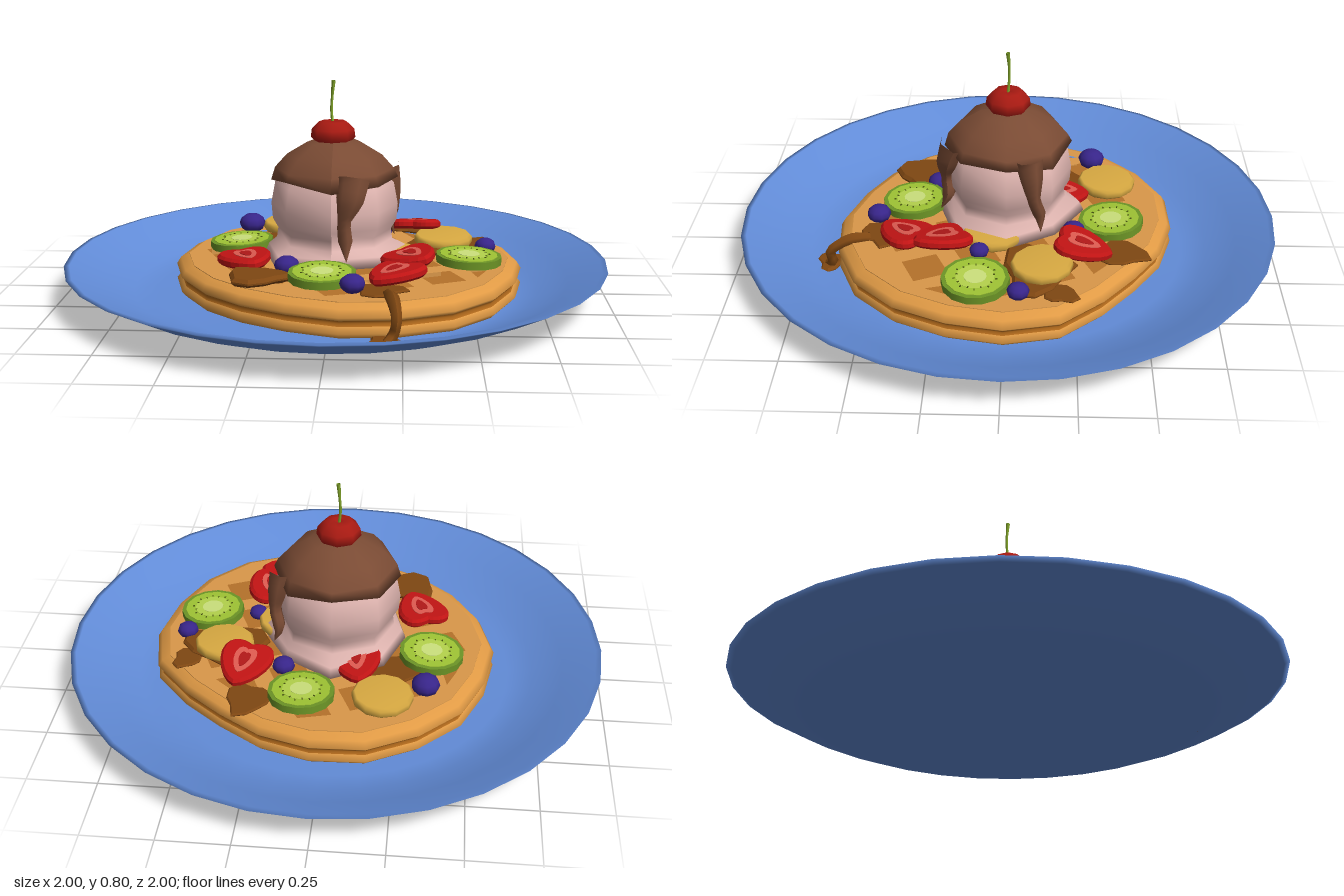
import * as THREE from 'three';

const material = (color, double) => new THREE.MeshStandardMaterial({
  color, side: double ? THREE.DoubleSide : THREE.FrontSide });

function add(parent, name, geometry, color, pos = [0, 0, 0], double = false) {
  const mesh = new THREE.Mesh(geometry, material(color, double));
  mesh.name = name;
  mesh.position.set(...pos);
  parent.add(mesh);
  return mesh;
}

const lathe = (points, sides) =>
  new THREE.LatheGeometry(points.map(p => new THREE.Vector2(...p)), sides);

// Horizontal slab from a flat shape; shape y becomes -z
function slab(shape, height, bevel = 0) {
  const g = new THREE.ExtrudeGeometry(shape, { depth: height - 2 * bevel, bevelEnabled: bevel > 0,
    bevelSize: bevel, bevelThickness: bevel, bevelOffset: -bevel, bevelSegments: 1, curveSegments: 6 });
  return g.rotateX(-Math.PI / 2).translate(0, bevel, 0);
}

// Tube whose radius follows a list of widths
function taperedTube(points, widths, sides = 6) {
  const n = 12;
  const curve = new THREE.CatmullRomCurve3(points.map(p => new THREE.Vector3(...p)));
  const g = new THREE.TubeGeometry(curve, n, 1, sides);
  const pos = g.attributes.position, v = new THREE.Vector3();
  for (let i = 0; i < pos.count; i++) {
    const t = Math.floor(i / (sides + 1)) / n, c = curve.getPointAt(t);
    const f = t * (widths.length - 1), k = Math.min(Math.floor(f), widths.length - 2);
    const w = THREE.MathUtils.lerp(widths[k], widths[k + 1], f - k);
    v.fromBufferAttribute(pos, i).sub(c).multiplyScalar(w).add(c);
    pos.setXYZ(i, v.x, v.y, v.z);
  }
  g.computeVertexNormals();
  return g;
}

// Waffle outline: radii every 18 degrees, from +x towards +z
const radii = [0.65, 0.645, 0.655, 0.66, 0.645, 0.63, 0.60, 0.595, 0.605, 0.62,
  0.64, 0.635, 0.645, 0.64, 0.64, 0.615, 0.59, 0.57, 0.59, 0.64];
const N = radii.length;
function radiusAt(angle) {
  const f = ((angle / (2 * Math.PI) + 1) % 1) * N, k = Math.floor(f) % N;
  return THREE.MathUtils.lerp(radii[k], radii[(k + 1) % N], f - Math.floor(f));
}
const outline = (s) => radii.map((r, i) => {
  const a = i / N * 2 * Math.PI;
  return new THREE.Vector2(Math.cos(a) * r * s, -Math.sin(a) * r * s);
});

// Side band between outline-shaped rings, each [scale, y]
function band(rings) {
  const position = [], index = [];
  rings.forEach(([s, y]) => outline(s).forEach(p => position.push(p.x, y, p.y * -1)));
  for (let j = 0; j < rings.length - 1; j++) for (let i = 0; i < N; i++) {
    const a = j * N + i, b = j * N + (i + 1) % N;
    index.push(a, a + N, b, b, a + N, b + N);
  }
  const g = new THREE.BufferGeometry();
  g.setAttribute('position', new THREE.Float32BufferAttribute(position, 3));
  g.setIndex(index);
  g.computeVertexNormals();
  return g;
}

function makeWaffle() {
  const waffle = new THREE.Group();
  waffle.name = 'waffle';
  waffle.position.x = 0.04;
  add(waffle, 'lowerCrust', band([[0.9, 0.013], [0.97, 0.025], [1, 0.045], [0.975, 0.065]]), 0xe09a45);
  add(waffle, 'crustGroove', band([[0.975, 0.065], [0.965, 0.075], [0.975, 0.085]]), 0xb26a1c);
  add(waffle, 'upperCrust', band([[0.975, 0.085], [1, 0.1], [0.975, 0.125], [0.92, 0.14]]), 0xe09a45);
  add(waffle, 'pocketFloor', slab(new THREE.Shape(outline(0.93)), 0.09), 0xb5722a, [0, 0.013, 0]);
  // Square pockets cut through the lattice, trimmed to the border
  const top = new THREE.Shape(outline(0.925));
  const step = 0.2, half = 0.065, turn = 0.42;
  for (let i = -4; i <= 4; i++) for (let j = -4; j <= 4; j++) {
    const corners = [[-1, -1], [1, -1], [1, 1], [-1, 1]].map(([u, v]) => {
      const p = new THREE.Vector2(i * step + u * half, j * step + v * half).rotateAround(new THREE.Vector2(), turn);
      const limit = 0.84 * radiusAt(Math.atan2(-p.y, p.x));
      return p.length() > limit ? p.setLength(limit) : p;
    });
    if (THREE.ShapeUtils.area(corners) > 0.005) top.holes.push(new THREE.Path(corners.reverse()));
  }
  add(waffle, 'lattice', slab(top, 0.045), 0xd9984a, [0, 0.096, 0]);
  return waffle;
}

// Irregular puddle of syrup
function puddle(parent, x, z, rx, rz, y, h, seed) {
  const pts = [];
  for (let i = 0; i < 11; i++) {
    const a = i / 11 * 2 * Math.PI, k = 1 + 0.2 * Math.sin(3 * a + seed) + 0.08 * Math.sin(5 * a + 2 * seed);
    pts.push(new THREE.Vector2(Math.cos(a) * rx * k, Math.sin(a) * rz * k));
  }
  add(parent, 'syrup', slab(new THREE.Shape(pts), h, Math.min(0.012, h * 0.4)), 0x7f4712, [x, y, z]);
}

function makeKiwi() {
  const kiwi = new THREE.Group();
  kiwi.name = 'kiwiSlice';
  const disc = (name, r, h, y, color) => add(kiwi, name, new THREE.CylinderGeometry(r, r, h, 14), color, [0, y, 0]);
  disc('skin', 0.12, 0.028, 0, 0x6c9426);
  disc('flesh', 0.105, 0.03, 0.001, 0x9fc434);
  disc('paleRing', 0.068, 0.032, 0.001, 0xb4d24c);
  disc('core', 0.04, 0.034, 0.001, 0xcbe07c);
  for (let i = 0; i < 18; i++) {
    const a = i / 18 * 2 * Math.PI, r = i % 2 ? 0.066 : 0.075;
    add(kiwi, 'seed', new THREE.BoxGeometry(0.007, 0.036, 0.004), 0x4c5a12,
      [Math.cos(a) * r, 0.001, Math.sin(a) * r]).rotation.y = -a;
  }
  return kiwi;
}

function makeBanana() {
  const banana = new THREE.Group();
  banana.name = 'bananaSlice';
  add(banana, 'flesh', lathe([[0, -0.02], [0.1, -0.02], [0.11, -0.01], [0.11, 0.01], [0.1, 0.02], [0, 0.02]], 12)
    .toNonIndexed(), 0xd9aa42);
  return banana;
}

// Heart-like outline with its tip towards +z
function berryShape(s) {
  const shape = new THREE.Shape();
  shape.moveTo(0, -0.11 * s);
  shape.bezierCurveTo(0.05 * s, -0.1 * s, 0.11 * s, 0, 0.095 * s, 0.055 * s);
  shape.bezierCurveTo(0.08 * s, 0.11 * s, 0.03 * s, 0.1 * s, 0, 0.085 * s);
  shape.bezierCurveTo(-0.03 * s, 0.1 * s, -0.08 * s, 0.11 * s, -0.095 * s, 0.055 * s);
  shape.bezierCurveTo(-0.11 * s, 0, -0.05 * s, -0.1 * s, 0, -0.11 * s);
  return shape;
}

function makeStrawberry() {
  const berry = new THREE.Group();
  berry.name = 'strawberrySlice';
  add(berry, 'flesh', slab(berryShape(1), 0.036, 0.01), 0xc01414, [0, -0.018, 0]);
  add(berry, 'paleCore', slab(berryShape(0.52), 0.038).scale(0.8, 1, 1.1), 0xdd5a50, [0, -0.018, 0]);
  add(berry, 'heart', slab(berryShape(0.3), 0.04).scale(0.7, 1, 1.1), 0xb01818, [0, -0.018, 0]);
  return berry;
}

export function createModel() {
  const model = new THREE.Group();
  model.name = 'wafflePlate';

  add(model, 'plate', lathe([[0, 0.002], [0.62, 0.002], [0.69, 0.009], [0.76, 0.024], [0.87, 0.068], [0.98, 0.126],
    [1, 0.137], [0.98, 0.139], [0.86, 0.08], [0.75, 0.036], [0.66, 0.018], [0, 0.012]], 32), 0x628cd8);
  model.add(makeWaffle());

  // Syrup on the lattice and running over the front edge
  [[-0.26, 0.35, 0.11, 0.09, 0.03, 1], [0.4, -0.11, 0.16, 0.12, 0.025, 2.4], [0.28, -0.42, 0.08, 0.09, 0.012, 4],
    [0.17, 0.46, 0.09, 0.07, 0.012, 0.5], [-0.2, -0.2, 0.15, 0.1, 0.012, 3], [0.54, -0.2, 0.05, 0.06, 0.012, 5]]
    .forEach(([x, z, rx, rz, h, s]) => puddle(model, x, z, rx, rz, 0.138, h, s));
  add(model, 'syrupRun', taperedTube([[0.2, 0.145, 0.5], [0.22, 0.142, 0.58], [0.23, 0.1, 0.645],
    [0.22, 0.05, 0.64], [0.2, 0.025, 0.66]], [0.02, 0.025, 0.02, 0.018, 0.02]), 0x7f4712, [0, 0, 0], true);
  puddle(model, 0.19, 0.655, 0.06, 0.05, 0.016, 0.02, 2);

  // Ice cream scoop with an uneven skirt
  const scoop = lathe([[0.2, 0.135], [0.27, 0.15], [0.255, 0.185], [0.215, 0.21], [0.21, 0.245], [0.23, 0.28],
    [0.235, 0.34], [0.22, 0.42], [0.15, 0.5], [0, 0.54]], 8);
  const cap = lathe([[0.18, 0.42], [0.235, 0.435], [0.22, 0.475], [0.175, 0.525], [0.1, 0.57], [0, 0.595]], 8);
  const wobble = (g, limit, dr, dy) => {
    const p = g.attributes.position;
    for (let i = 0; i < p.count; i++) if (p.getY(i) < limit) {
      const w = Math.sin(3 * Math.atan2(p.getZ(i), p.getX(i)) + 0.6);
      p.setXYZ(i, p.getX(i) * (1 + dr * w), p.getY(i) + dy * w, p.getZ(i) * (1 + dr * w));
    }
    g.computeVertexNormals();
    return g;
  };
  add(model, 'iceCream', wobble(scoop, 0.2, 0.07, 0), 0xddb3ae, [-0.005, 0, 0], true);
  add(model, 'chocolateCap', wobble(cap, 0.45, 0, 0.015), 0x7a4b34, [-0.005, 0, 0], true);
  add(model, 'frontDrip', taperedTube([[0.07, 0.47, 0.19], [0.06, 0.4, 0.215], [0.04, 0.32, 0.225], [0.045, 0.25, 0.22],
    [0.05, 0.18, 0.25]], [0.06, 0.05, 0.024, 0.026, 0]), 0x7a4b34);
  add(model, 'sideDrip', taperedTube([[0.19, 0.47, -0.08], [0.205, 0.4, -0.09], [0.215, 0.32, -0.1], [0.2, 0.25, -0.12],
    [0.22, 0.19, -0.125]], [0.05, 0.04, 0.024, 0.024, 0]), 0x7a4b34);

  // Cherry with a stem
  add(model, 'cherry', lathe([[0, 0.545], [0.055, 0.56], [0.082, 0.59], [0.078, 0.62], [0.05, 0.647], [0.02, 0.65],
    [0, 0.638]], 8), 0xa81a12, [-0.01, 0, 0]);
  add(model, 'cherryStem', taperedTube([[-0.01, 0.63, 0], [-0.016, 0.69, -0.004], [-0.013, 0.74, -0.004],
    [-0.008, 0.797, 0]], [0.006, 0.005, 0.005, 0.008], 5), 0x82a52a, [0, 0, 0], true);

  // Fruit: maker, x, y, z, tilt x, turn y, tilt z
  [[makeKiwi, 0.09, 0.16, -0.385, 0.06, 0, 0], [makeKiwi, -0.365, 0.158, -0.105, 0, 0, 0.05],
    [makeKiwi, 0.49, 0.163, 0.1, 0, 0, -0.04], [makeKiwi, -0.03, 0.165, 0.355, 0.05, 0, 0],
    [makeBanana, -0.2, 0.16, -0.38, 0, 0, 0], [makeBanana, 0.405, 0.175, -0.13, 0.05, 0, 0],
    [makeBanana, 0.19, 0.165, 0.05, 0, 0, 0],
    [makeStrawberry, 0.31, 0.195, -0.275, -0.22, 2.9, 0], [makeStrawberry, -0.315, 0.168, 0.17, 0, 0.4, 0.05],
    [makeStrawberry, 0.28, 0.2, 0.23, 0, 0.5, 0.2], [makeStrawberry, 0.22, 0.18, 0.37, 0, -0.7, 0.12],
    [makeStrawberry, -0.09, 0.175, -0.2, -0.15, 3.3, 0]].forEach(([make, x, y, z, a, b, c]) => {
    const holder = new THREE.Group(), slice = make();
    holder.name = slice.name + 'Holder';
    slice.rotation.y = b;
    holder.add(slice);
    holder.position.set(x, y, z);
    holder.rotation.set(a, 0, c);
    model.add(holder);
  });
  [[-0.35, -0.325, 0.052], [0.17, -0.245, 0.042], [0.56, -0.05, 0.04], [0.31, 0.095, 0.036], [-0.16, 0.27, 0.046],
    [0.08, 0.48, 0.045]].forEach(([x, z, r]) =>
    add(model, 'blueberry', new THREE.SphereGeometry(r, 9, 6).scale(1, 0.75, 1), 0x38258a, [x, 0.14 + r * 0.75, z]));
  return model;
}
